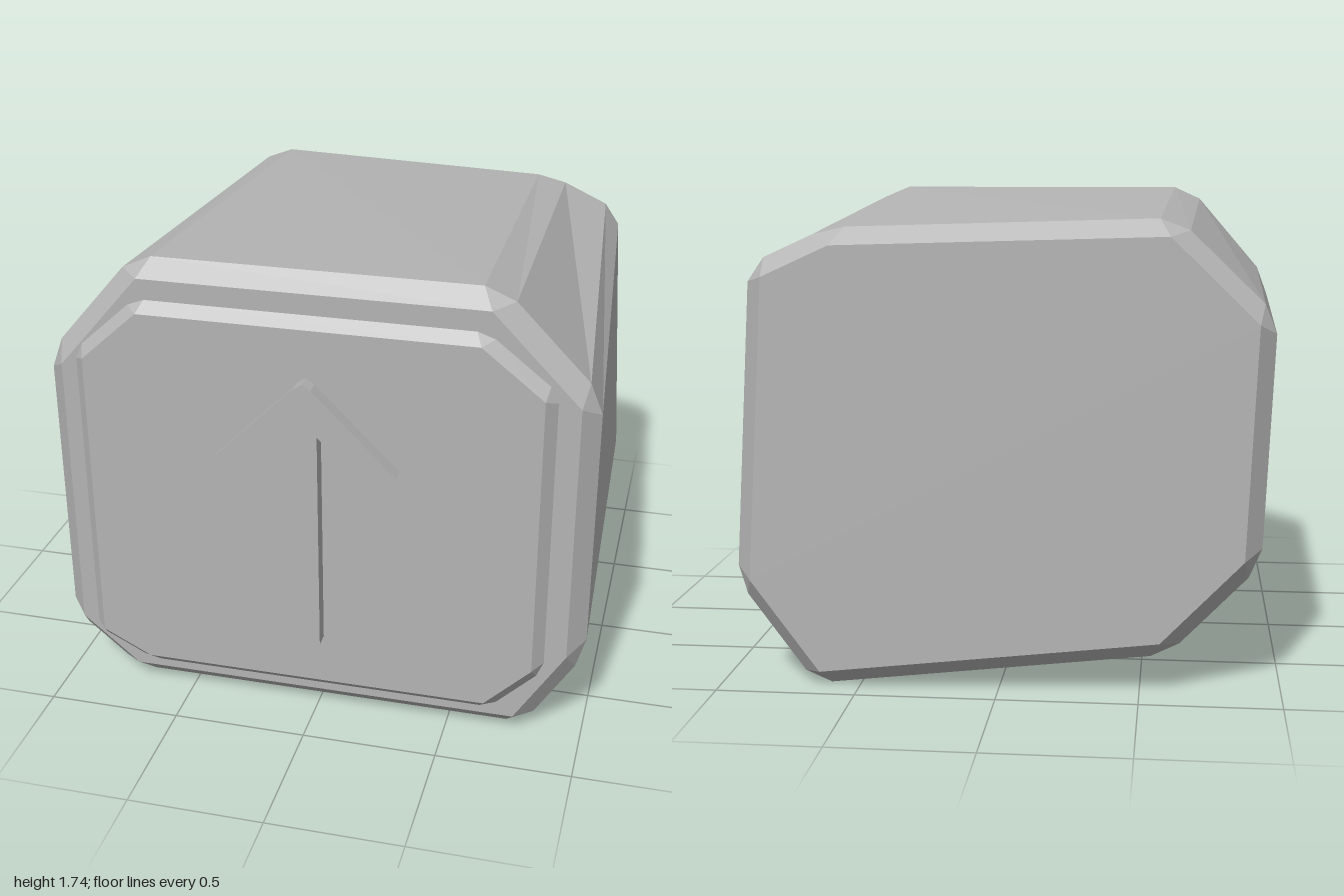
import * as THREE from 'three';

const grey = new THREE.MeshStandardMaterial({ color: 0xb4b4b4 });
grey.name = 'plain grey';
grey.flatShading = true;

// Offset an octagon outwards by d, then cut each corner by c: 8 points become 16
function bevelRing(points, d, c) {
  const n = points.length;
  const p = points.map(([x, y]) => new THREE.Vector2(x, y));
  const dir = p.map((a, i) => p[(i + 1) % n].clone().sub(a).normalize());
  const ring = [];
  p.forEach((a, i) => {
    const before = dir[(i + n - 1) % n], after = dir[i];
    const n1 = new THREE.Vector2(before.y, -before.x);
    const n2 = new THREE.Vector2(after.y, -after.x);
    const miter = n1.clone().add(n2).multiplyScalar(d / (1 + n1.dot(n2))).add(a);
    ring.push(miter.clone().addScaledVector(before, -c), miter.clone().addScaledVector(after, c));
  });
  return ring;
}

// Each cap corner used twice, so it matches a bevel ring
const doubled = (points) => points.flatMap(([x, y]) => [new THREE.Vector2(x, y), new THREE.Vector2(x, y)]);

// Skin cross-sections from front to back and close both ends
function loft(name, sections) {
  const pos = [];
  const put = (...vs) => {
    const area = vs[1].clone().sub(vs[0]).cross(vs[2].clone().sub(vs[0])).length();
    if (area > 1e-7) vs.forEach((v) => pos.push(v.x, v.y, v.z));
  };
  const loops = sections.map(([z, pts]) => pts.map((p) => new THREE.Vector3(p.x, p.y, z)));
  const n = loops[0].length;
  for (let s = 0; s < loops.length - 1; s++) {
    const f = loops[s], b = loops[s + 1];
    for (let i = 0; i < n; i++) {
      const j = (i + 1) % n;
      put(f[i], b[i], b[j]);
      put(f[i], b[j], f[j]);
    }
  }
  const front = loops[0], back = loops[loops.length - 1];
  for (let i = 1; i < n - 1; i++) {
    put(front[0], front[i], front[i + 1]);
    put(back[0], back[i + 1], back[i]);
  }
  const geo = new THREE.BufferGeometry();
  geo.setAttribute('position', new THREE.Float32BufferAttribute(pos, 3));
  geo.computeVertexNormals();
  const mesh = new THREE.Mesh(geo, grey);
  mesh.name = name;
  return mesh;
}

export function createModel() {
  const model = new THREE.Group();
  model.name = 'arrowBlock';

  // Body: uneven octagonal block, slightly skewed towards the back
  const bodyFront = [[0.935, 0.37], [0.935, 1.36], [0.62, 1.685], [-0.63, 1.685],
    [-0.935, 1.33], [-0.935, 0.26], [-0.72, 0.077], [0.75, 0.077]];
  const bodyBack = [[0.885, 0.39], [0.82, 1.47], [0.58, 1.58], [-0.59, 1.615],
    [-0.895, 1.32], [-0.86, 0.5], [-0.57, 0.2], [0.64, 0.06]];
  model.add(loft('body', [
    [0.8, doubled(bodyFront)],
    [0.735, bevelRing(bodyFront, 0.063, 0.065)],
    [-0.865, bevelRing(bodyBack, 0.06, 0.06)],
    [-0.93, doubled(bodyBack)],
  ]));

  // Face plate: thin octagon with bevelled rim
  const plate = [[0.82, 0.34], [0.82, 1.41], [0.6, 1.585], [-0.61, 1.585],
    [-0.82, 1.395], [-0.82, 0.265], [-0.64, 0.173], [0.65, 0.173]];
  model.add(loft('facePlate', [
    [0.875, doubled(plate)],
    [0.835, bevelRing(plate, 0.039, 0.035)],
    [0.795, doubled(plate)],
  ]));

  // Raised arrow, mirrored about its shaft
  const half = [[0.05, 0.37], [0.05, 1.215], [0.26, 1.015], [0.33, 1.09], [0.03, 1.39]];
  const outline = [...half, [0, 1.41], ...half.map(([x, y]) => [-x, y]).reverse()];
  const shape = new THREE.Shape(outline.map(([x, y]) => new THREE.Vector2(x, y)));
  const arrow = new THREE.Mesh(new THREE.ExtrudeGeometry(shape, { depth: 0.06, bevelEnabled: false }), grey);
  arrow.position.z = 0.87;
  arrow.name = 'arrow';
  model.add(arrow);

  return model;
}
